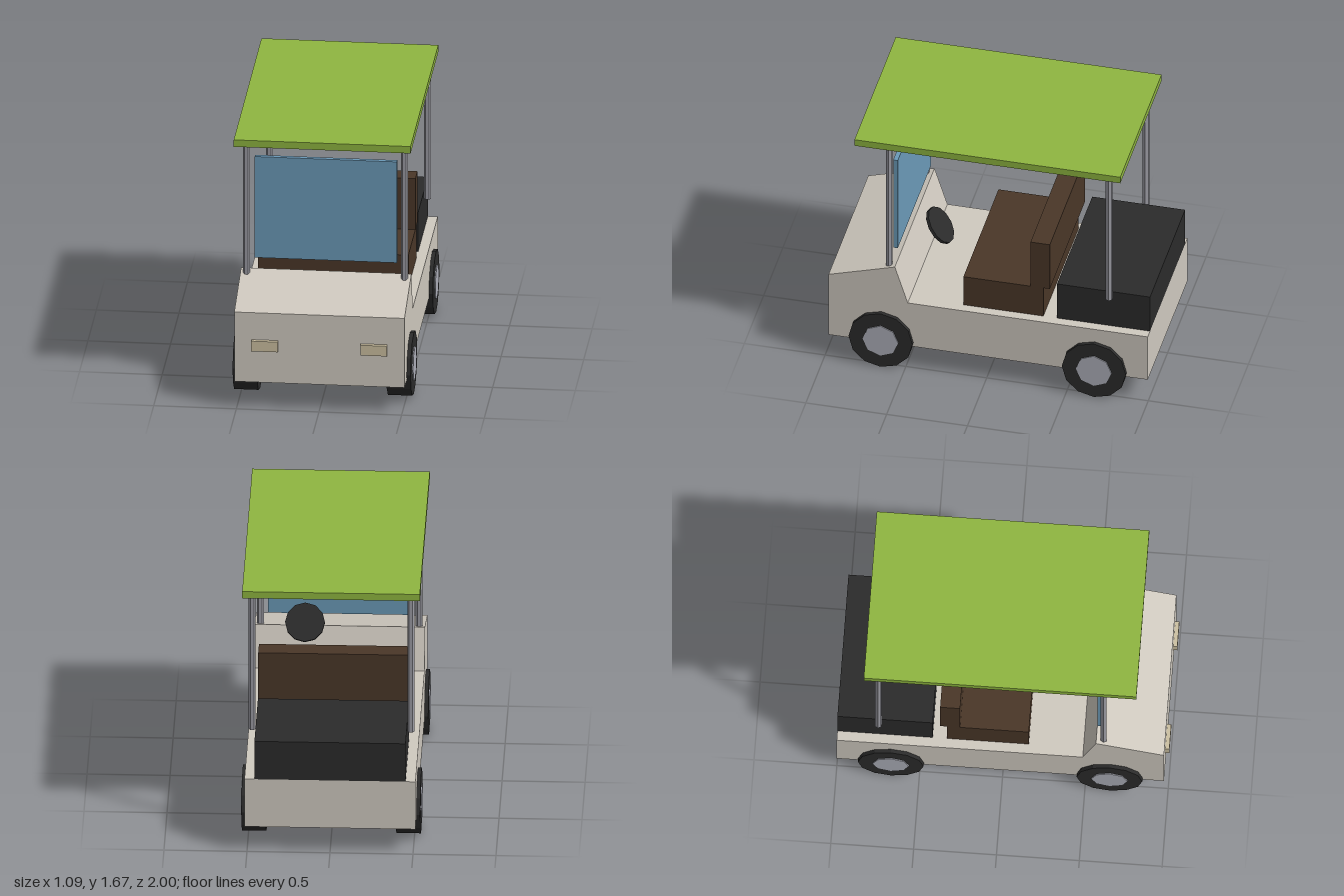
import * as THREE from 'three';

const paint = (name, color) => {
  const m = new THREE.MeshStandardMaterial({ color });
  m.name = name;
  m.flatShading = true;
  return m;
};

export function createModel() {
  const bodyPaint = paint('cream body', 0xd0cac0);
  const roofPaint = paint('green canopy', 0x8fb640);
  const seatPaint = paint('brown seat', 0x4a3728);
  const black = paint('black rubber', 0x2b2b2b);
  const hubPaint = paint('silver hub', 0xaeb0ba);
  const postPaint = paint('grey metal', 0x9c9ca4);
  const glass = paint('blue glass', 0x6b9ab8);
  const lampPaint = paint('pale lamp', 0xcdc1a2);

  const cart = new THREE.Group();
  cart.name = 'openCart';

  const add = (name, geometry, material, x = 0, y = 0, z = 0, parent = cart) => {
    const mesh = new THREE.Mesh(geometry, material);
    mesh.name = name;
    mesh.position.set(x, y, z);
    parent.add(mesh);
    return mesh;
  };

  // Box given by its extents on each axis
  const box = (name, material, [x0, x1], [y0, y1], [z0, z1]) =>
    add(name, new THREE.BoxGeometry(x1 - x0, y1 - y0, z1 - z0), material,
      (x0 + x1) / 2, (y0 + y1) / 2, (z0 + z1) / 2);

  // Body: side profile (z, y) extruded across the width
  const profile = new THREE.Shape([
    [0.975, 0.17], [0.975, 0.62], [0.565, 0.745], [0.485, 0.49], [-1, 0.49], [-1, 0.17],
  ].map(([z, y]) => new THREE.Vector2(z, y)));
  const bodyGeometry = new THREE.ExtrudeGeometry(profile, { depth: 1.03, bevelEnabled: false });
  bodyGeometry.translate(0, 0, -0.515).rotateY(-Math.PI / 2);
  add('body', bodyGeometry, bodyPaint);

  // Seat, rear box, windscreen and canopy
  box('seatCushion', seatPaint, [-0.455, 0.455], [0.49, 0.7], [-0.34, 0.155]);
  box('seatBack', seatPaint, [-0.455, 0.455], [0.7, 1.03], [-0.38, -0.26]);
  box('rearBox', black, [-0.455, 0.455], [0.49, 0.745], [-1, -0.425]);
  box('windscreen', glass, [-0.43, 0.43], [0.825, 1.48], [0.567, 0.595]);
  box('canopy', roofPaint, [-0.535, 0.535], [1.625, 1.67], [-0.835, 0.81]);

  // Steering wheel: thin tilted disc on the driver's side
  const steering = add('steeringWheel', new THREE.CylinderGeometry(0.12, 0.12, 0.02, 12), black, 0.2, 0.867, 0.36);
  steering.rotation.x = -0.9;

  // Mirrored parts
  const postGeometry = new THREE.CylinderGeometry(0.021, 0.021, 0.92, 6).rotateY(Math.PI / 2);
  const tyreGeometry = new THREE.CylinderGeometry(0.198, 0.198, 0.147, 12).rotateZ(Math.PI / 2);
  const hubGeometry = new THREE.CylinderGeometry(0.11, 0.11, 0.16, 8).rotateZ(Math.PI / 2);
  for (const side of [1, -1]) {
    const label = side > 0 ? 'Left' : 'Right';
    add('headlight' + label, new THREE.BoxGeometry(0.16, 0.066, 0.03), lampPaint, side * 0.33, 0.412, 0.985);
    for (const [end, postZ, wheelZ] of [['front', 0.608, 0.648], ['rear', -0.752, -0.672]]) {
      add(end + 'Post' + label, postGeometry, postPaint, side * 0.478, 1.165, postZ);
      const wheel = new THREE.Group();
      wheel.name = end + 'Wheel' + label;
      wheel.position.set(side * 0.465, 0.2, wheelZ);
      cart.add(wheel);
      add('tyre', tyreGeometry, black, 0, 0, 0, wheel);
      add('hub', hubGeometry, hubPaint, 0, 0, 0, wheel);
    }
  }
  return cart;
}
